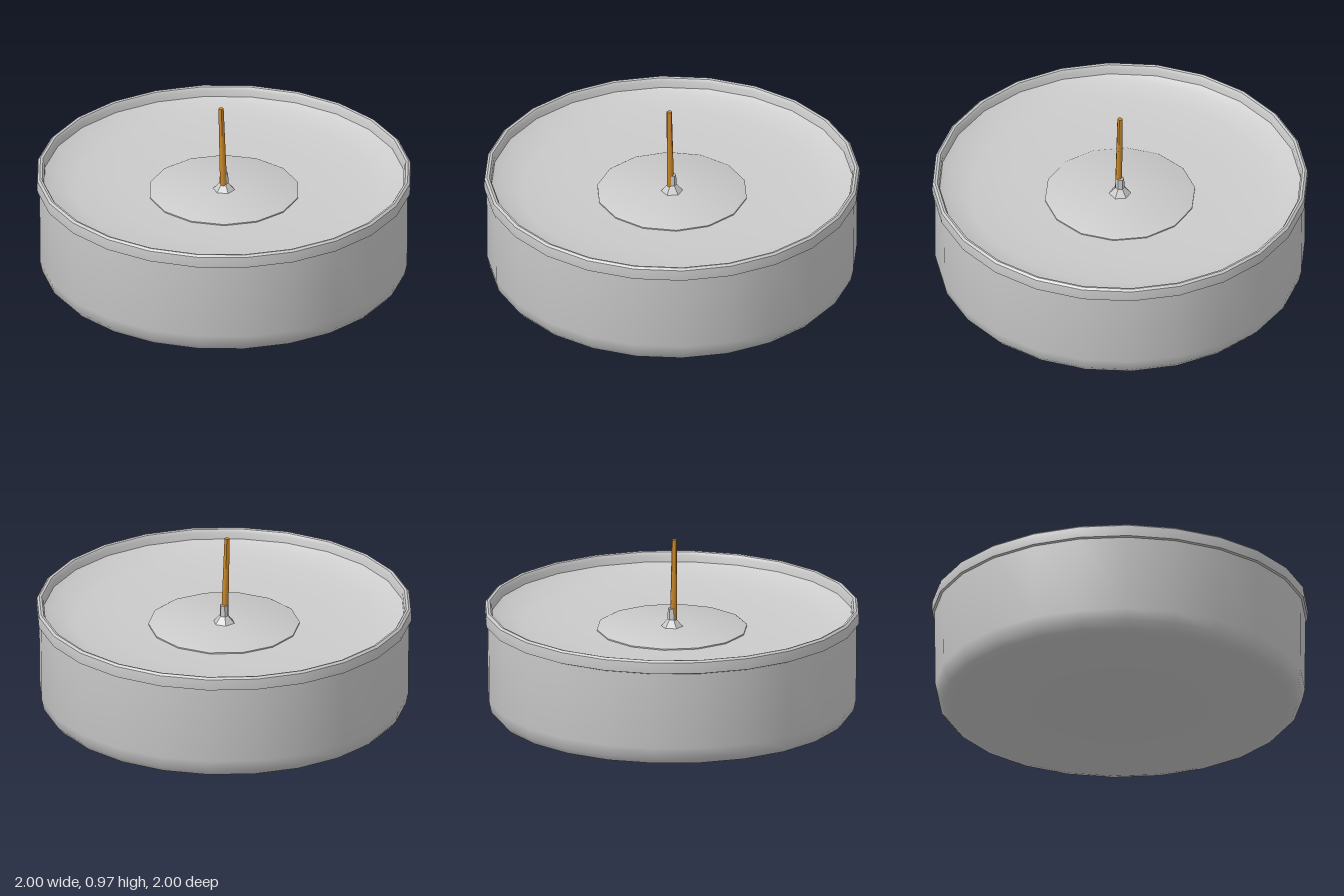
import * as THREE from 'three';
import { toCreasedNormals } from 'three/addons/utils/BufferGeometryUtils.js';

const SIDES = 24;

// Revolved part with sharp edges kept where the profile turns strongly
function revolve(name, points, sides, material, phi = 0) {
  const profile = points.map(([r, y]) => new THREE.Vector2(r, y));
  const geometry = toCreasedNormals(new THREE.LatheGeometry(profile, sides, phi), 0.6);
  const mesh = new THREE.Mesh(geometry, material);
  mesh.name = name;
  return mesh;
}

export function createModel() {
  const group = new THREE.Group();
  group.name = 'tealightCandle';

  const metal = new THREE.MeshStandardMaterial({ color: 0xc9c9c9 });
  metal.name = 'pale metal';
  const wax = new THREE.MeshStandardMaterial({ color: 0xcccbcb });
  wax.name = 'pale wax';
  const cord = new THREE.MeshStandardMaterial({ color: 0xc8862a });
  cord.name = 'ochre cord';

  // Cup: flat base, rounded foot, straight wall and folded lip
  group.add(revolve('cup', [
    [0, 0], [0.89, 0], [0.94, 0.015], [0.97, 0.05], [0.983, 0.11],
    [0.986, 0.525], [0.998, 0.53], [1, 0.56], [0.997, 0.59], [0.985, 0.6],
    [0.972, 0.597], [0.962, 0.58], [0.958, 0.46],
  ], SIDES, metal));

  // Wax: shallow dish, highest against the wall
  group.add(revolve('wax', [
    [0.962, 0.545], [0.92, 0.522], [0.8, 0.497], [0.6, 0.482], [0.38, 0.475], [0, 0.475],
  ], SIDES, wax));

  // Thin raised disc around the wick
  group.add(revolve('wickDisc', [
    [0.402, 0.468], [0.402, 0.482], [0.392, 0.487], [0, 0.487],
  ], 14, wax, Math.PI / 14));

  // Pinched metal collar holding the wick
  group.add(revolve('wickCollar', [
    [0.06, 0.485], [0.042, 0.505], [0.024, 0.525], [0.022, 0.585], [0, 0.587],
  ], 6, metal));

  // Slightly leaning, tapering wick
  const path = new THREE.LineCurve3(
    new THREE.Vector3(0.004, 0.5, 0.008), new THREE.Vector3(-0.009, 0.97, 0.014));
  const length = path.getLength();
  const wick = new THREE.Mesh(
    toCreasedNormals(new THREE.CylinderGeometry(0.014, 0.019, length, 8), 0.9), cord);
  wick.name = 'wick';
  wick.position.copy(path.getPoint(0.5));
  wick.quaternion.setFromUnitVectors(new THREE.Vector3(0, 1, 0), path.getTangent(0));
  group.add(wick);

  return group;
}
